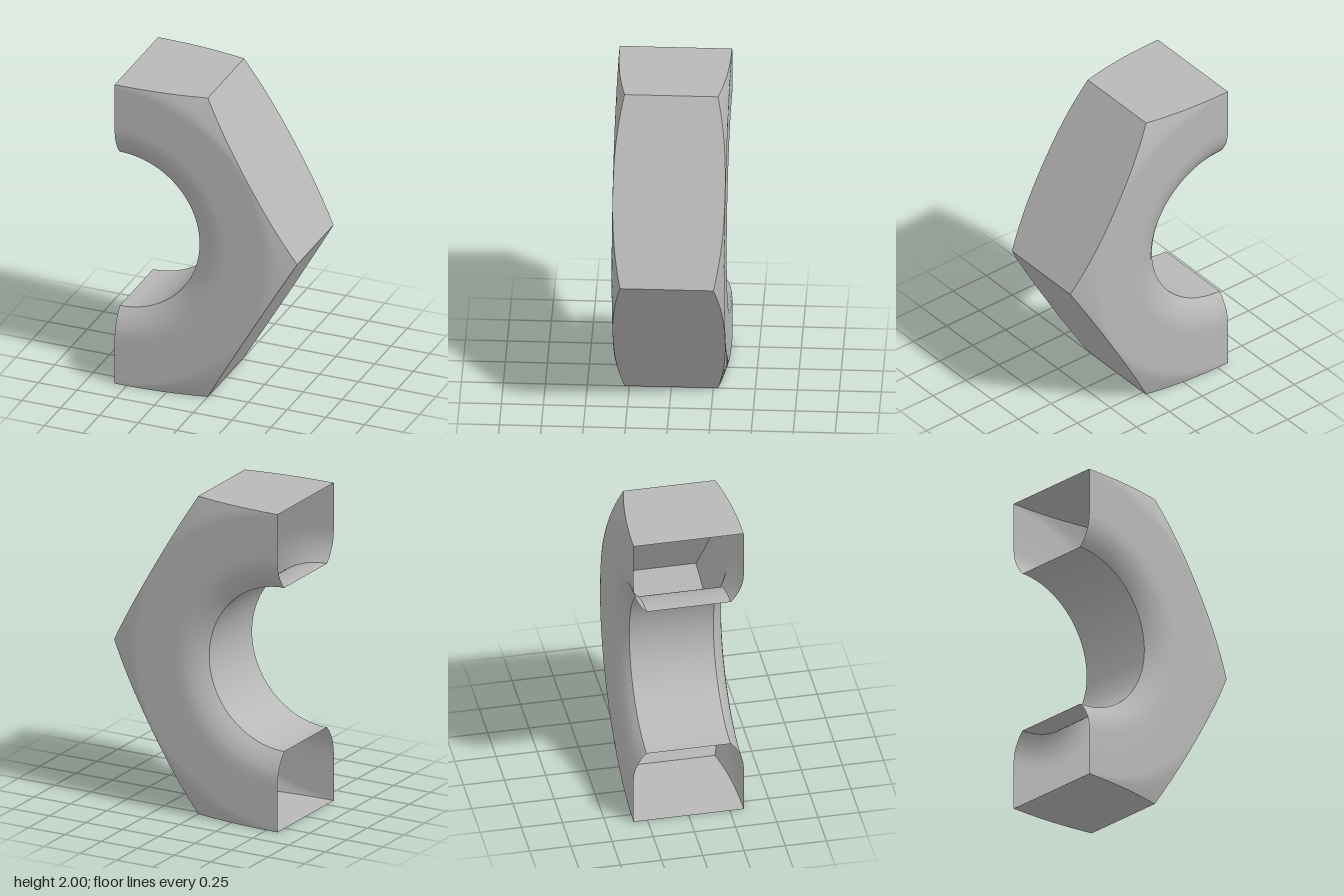
import * as THREE from 'three';

const CX = -0.577, CY = 1;         // axis of the nut, lying on the cut plane
const BORE = 0.515, HALF = 0.336;  // bore radius, half thickness
const STEPS = 72;

// distance from the axis to the hexagon outline (corners at 0 and +-60 degrees)
function hexRadius(a) {
  const sector = Math.PI / 3;
  const off = a - (Math.floor(a / sector + 1e-9) + 0.5) * sector;
  return 1 / Math.cos(off);
}

// half thickness at a radius: rounded countersink, flat ring, conical corner chamfer
const sink = [[0.515, 0.255], [0.545, 0.282], [0.58, 0.303], [0.62, 0.322], [0.66, 0.331], [0.71, HALF]];
function height(r) {
  if (r > 0.99) return HALF - 0.058 * Math.pow((r - 0.99) / 0.165, 1.25);
  for (let i = 1; i < sink.length; i++) {
    const [r0, z0] = sink[i - 1], [r1, z1] = sink[i];
    if (r <= r1) return z0 + (z1 - z0) * Math.max(0, (r - r0) / (r1 - r0));
  }
  return HALF;
}

// grid surface: angle from a0 to a1, rows given by a point rule (angle, row) => [radius, z]
function surface(a0, a1, nu, nv, rule, flip) {
  const pos = [], idx = [];
  for (let i = 0; i <= nu; i++) {
    const a = a0 + (a1 - a0) * i / nu;
    for (let j = 0; j <= nv; j++) {
      const [r, z] = rule(a, j);
      pos.push(CX + r * Math.cos(a), CY + r * Math.sin(a), z);
      if (i < nu && j < nv) {
        const p = i * (nv + 1) + j, q = p + nv + 1;
        if (flip) idx.push(p, q, p + 1, q, q + 1, p + 1);
        else idx.push(p, p + 1, q, q, p + 1, q + 1);
      }
    }
  }
  const g = new THREE.BufferGeometry();
  g.setAttribute('position', new THREE.Float32BufferAttribute(pos, 3));
  g.setIndex(idx);
  g.computeVertexNormals();
  return g;
}

export function createModel() {
  const steel = new THREE.MeshStandardMaterial({ color: 0xb8b8b8, side: THREE.DoubleSide });
  steel.name = 'steel grey';
  const nut = new THREE.Group();
  nut.name = 'halfHexNut';
  const add = (name, geometry) => {
    const mesh = new THREE.Mesh(geometry, steel);
    mesh.name = name;
    nut.add(mesh);
  };
  const Q = Math.PI / 2;

  // front and back faces with countersink and corner chamfer
  const rings = [...sink.map(p => p[0]), 0.9];
  const outer = 8;
  for (const s of [1, -1]) {
    const rule = (a, j) => {
      const k = j - (rings.length - 1);
      const r = k <= 0 ? rings[j] : 0.9 + (hexRadius(a) - 0.9) * k / outer;
      return [r, s * height(r)];
    };
    add(s > 0 ? 'frontFace' : 'backFace',
      surface(-Q, Q, STEPS, rings.length - 1 + outer, rule, s < 0));
  }

  // outer flats, the first and last cut in half
  const corners = [-Q, -Math.PI / 3, 0, Math.PI / 3, Q];
  for (let i = 0; i < 4; i++) {
    const n = Math.round(STEPS * (corners[i + 1] - corners[i]) / Math.PI);
    const rule = (a, j) => {
      const r = hexRadius(a);
      return [r, (j * 2 - 1) * height(r)];
    };
    add('flat' + (i + 1), surface(corners[i], corners[i + 1], n, 1, rule, true));
  }

  // smooth half bore; the cut ends stay open
  add('bore', surface(-Q, Q, STEPS, 1, (a, j) => [BORE, (j * 2 - 1) * height(BORE)], false));
  return nut;
}
